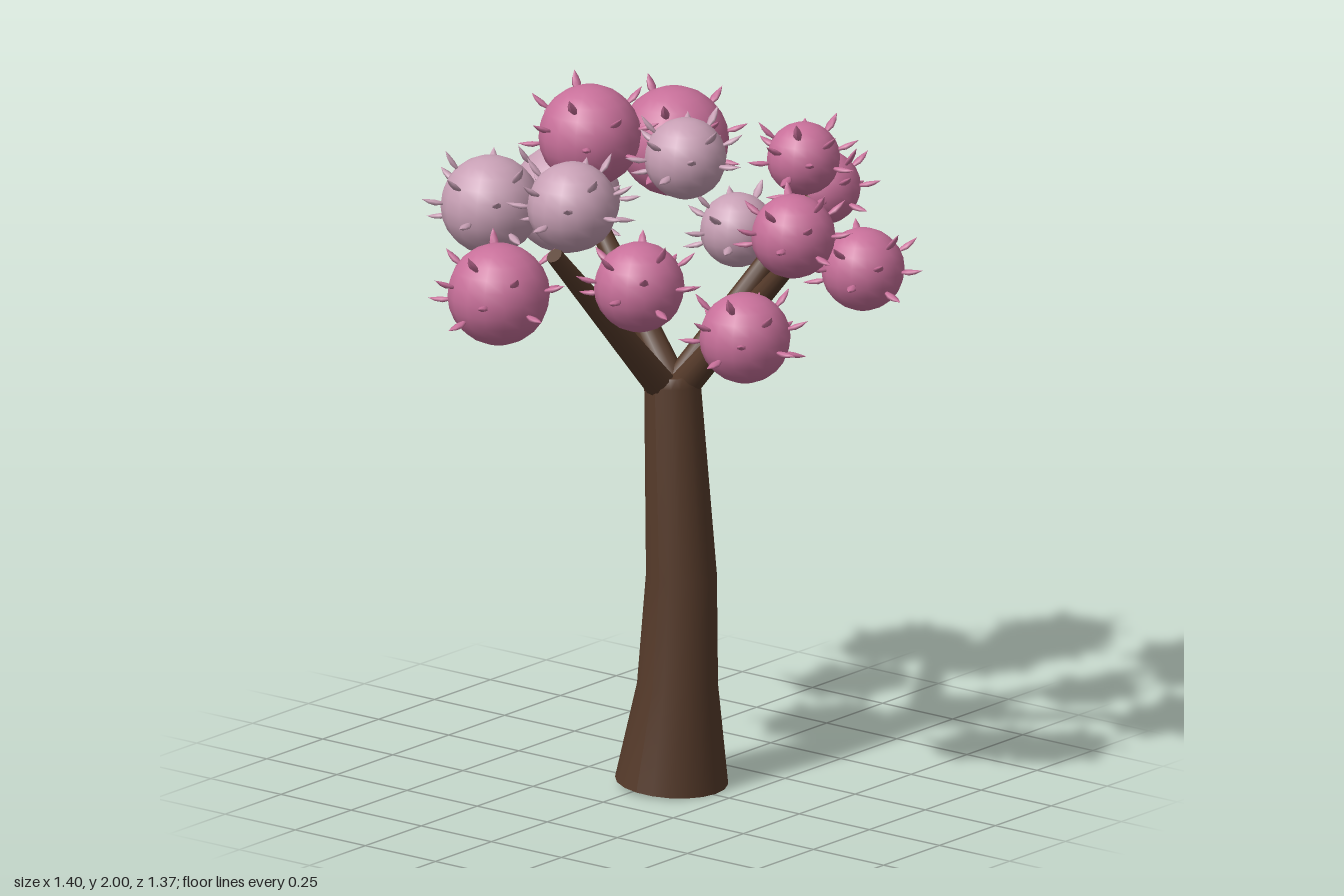
import * as THREE from 'three';
import { mergeGeometries } from 'three/addons/utils/BufferGeometryUtils.js';

const bark = new THREE.MeshStandardMaterial({ name: 'bark brown', color: 0x553a2a });
const pink = new THREE.MeshStandardMaterial({ name: 'deep pink', color: 0xc8709a });
const pale = new THREE.MeshStandardMaterial({ name: 'pale pink', color: 0xc8a0b5 });

const UP = new THREE.Vector3(0, 1, 0);

// Trunk: a cylinder whose rows follow [x, y, z, radius] rings, with a tilted foot
function trunkGeometry() {
  const rings = [
    [0.037, 0.014, -0.01, 0.158],
    [0.058, 0.3, -0.01, 0.113],
    [0.072, 0.62, -0.01, 0.099],
    [0.04, 1.17, -0.01, 0.079],
    [0.035, 1.195, -0.01, 0.06],
  ];
  const geo = new THREE.CylinderGeometry(1, 1, 1, 20, rings.length - 1);
  const p = geo.attributes.position;
  for (let i = 0; i < p.count; i++) {
    const row = Math.round((p.getY(i) + 0.5) * (rings.length - 1));
    const [cx, cy, cz, r] = rings[row];
    const dx = p.getX(i) * r;
    p.setXYZ(i, cx + dx, cy - (row === 0 ? 0.07 * dx : 0), cz + p.getZ(i) * r);
  }
  geo.computeVertexNormals();
  return geo;
}

// Branch: tapered limb between two points
function branch(from, to) {
  const a = new THREE.Vector3(...from), b = new THREE.Vector3(...to);
  const dir = b.clone().sub(a);
  const mesh = new THREE.Mesh(new THREE.CylinderGeometry(0.024, 0.044, dir.length(), 12), bark);
  mesh.position.copy(a).lerp(b, 0.5);
  mesh.quaternion.setFromUnitVectors(UP, dir.normalize());
  mesh.name = 'branch';
  return mesh;
}

// Spike: flattened pointed bud along +z, curling up towards the tip
function spikeGeometry() {
  const profile = [[0, -0.012], [0.008, 0], [0.014, 0.02], [0.01, 0.04], [0, 0.06]]
    .map(([r, y]) => new THREE.Vector2(r, y));
  const geo = new THREE.LatheGeometry(profile, 6);
  geo.rotateX(Math.PI / 2);
  const p = geo.attributes.position;
  for (let i = 0; i < p.count; i++) {
    const z = p.getZ(i);
    p.setY(i, p.getY(i) * 0.6 + 3 * z * z);
  }
  geo.computeVertexNormals();
  return geo;
}

// Bloom: round ball with spikes spread in a spiral, leaving its underside bare
function bloom(x, y, z, r, material, index, spike) {
  const group = new THREE.Group();
  group.name = 'bloom';
  group.position.set(x, y, z);
  const ball = new THREE.Mesh(new THREE.SphereGeometry(r, 16, 12), material);
  ball.name = 'ball';
  const holder = new THREE.Object3D();
  const parts = [];
  const count = 15;
  for (let i = 0; i < count; i++) {
    const h = -0.4 + 1.13 * i / (count - 1);
    const angle = i * 2.4 + index * 1.3;
    const w = Math.sqrt(1 - h * h);
    const dir = new THREE.Vector3(w * Math.cos(angle), h, w * Math.sin(angle));
    holder.position.copy(dir).multiplyScalar(r * 0.985);
    holder.lookAt(dir.multiplyScalar(r * 2));
    holder.updateMatrix();
    parts.push(spike.clone().applyMatrix4(holder.matrix));
  }
  const spikes = new THREE.Mesh(mergeGeometries(parts), material);
  spikes.name = 'spikes';
  group.add(ball, spikes);
  return group;
}

export function createModel() {
  const model = new THREE.Group();
  model.name = 'tree';

  const trunk = new THREE.Mesh(trunkGeometry(), bark);
  trunk.name = 'trunk';
  model.add(trunk);

  // Four limbs fanning out from the trunk top
  model.add(
    branch([0.035, 1.16, -0.04], [0.205, 1.635, -0.43]),
    branch([0.06, 1.16, -0.035], [0.49, 1.63, -0.015]),
    branch([0.03, 1.16, 0.02], [-0.015, 1.635, 0.45]),
    branch([0.02, 1.16, -0.035], [-0.36, 1.62, -0.115]),
  );

  // Crown: x, y, z, radius, colour
  const blooms = [
    [-0.485, 1.57, -0.19, 0.155, pale],
    [-0.25, 1.735, -0.38, 0.155, pink],
    [-0.135, 1.465, -0.52, 0.105, pale],
    [0.16, 1.64, -0.535, 0.105, pink],
    [0.3, 1.81, -0.27, 0.103, pink],
    [0.54, 1.54, -0.235, 0.117, pink],
    [-0.255, 1.835, -0.01, 0.144, pink],
    [0.17, 1.87, 0.095, 0.115, pale],
    [0.525, 1.7, 0.058, 0.118, pink],
    [0.49, 1.438, 0.23, 0.128, pink],
    [-0.39, 1.672, 0.265, 0.14, pale],
    [-0.185, 1.5, 0.485, 0.144, pink],
    [0.01, 1.77, 0.4, 0.127, pale],
    [0.3, 1.605, 0.465, 0.127, pink],
  ];
  const spike = spikeGeometry();
  blooms.forEach(([x, y, z, r, material], i) => model.add(bloom(x, y, z, r, material, i, spike)));
  return model;
}
